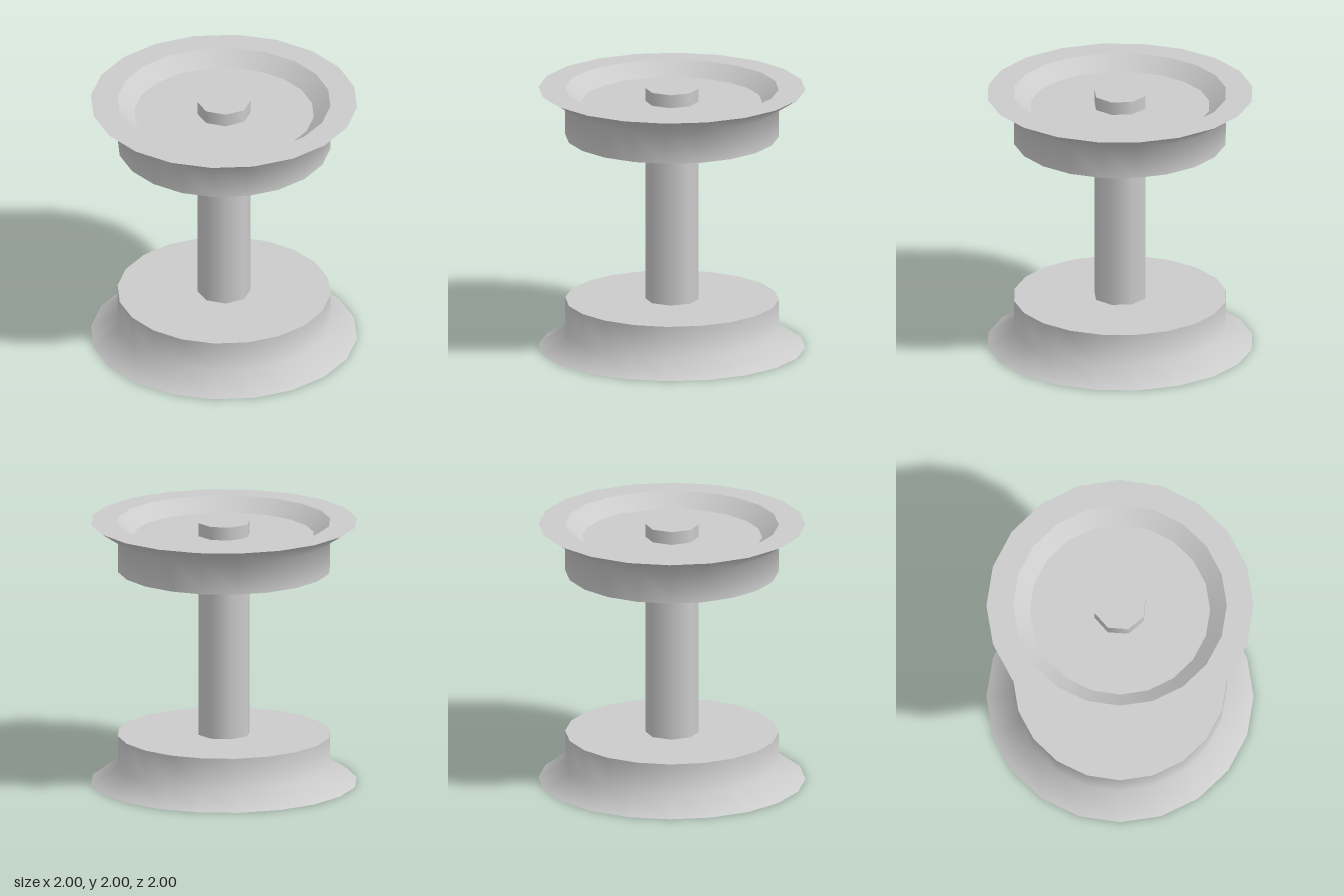
import * as THREE from 'three';
import { mergeGeometries } from 'three/addons/utils/BufferGeometryUtils.js';

const SIDES = 20;

// Each run is smooth within itself; edges between runs stay sharp
const WHEEL_RUNS = [
  [[0, 0.1], [0.675, 0.1]],            // recessed hub face
  [[0.675, 0.1], [0.8, 0]],            // sloped recess wall
  [[0.8, 0], [1, 0]],                  // flange face
  [[1, 0], [0.8, 0.13], [0.8, 0.367]], // flared flange and tread
  [[0.8, 0.367], [0, 0.367]],          // inner face
];

function wheelGeometry() {
  return mergeGeometries(WHEEL_RUNS.map((run) =>
    new THREE.LatheGeometry(run.map(([r, y]) => new THREE.Vector2(r, y)), SIDES)));
}

export function createModel() {
  const group = new THREE.Group();
  group.name = 'wheelset';
  const material = new THREE.MeshStandardMaterial({ color: 0xcccccc });

  // Two mirrored flanged wheels
  const geometry = wheelGeometry();
  const lowerWheel = new THREE.Mesh(geometry, material);
  lowerWheel.name = 'lowerWheel';
  const upperWheel = new THREE.Mesh(geometry, material);
  upperWheel.name = 'upperWheel';
  upperWheel.rotation.x = Math.PI;
  upperWheel.position.y = 2;

  // Axle passing through both wheels, ends level with the flanges
  const axle = new THREE.Mesh(new THREE.CylinderGeometry(0.2, 0.2, 2, 8), material);
  axle.name = 'axle';
  axle.position.y = 1;

  group.add(lowerWheel, upperWheel, axle);
  return group;
}
